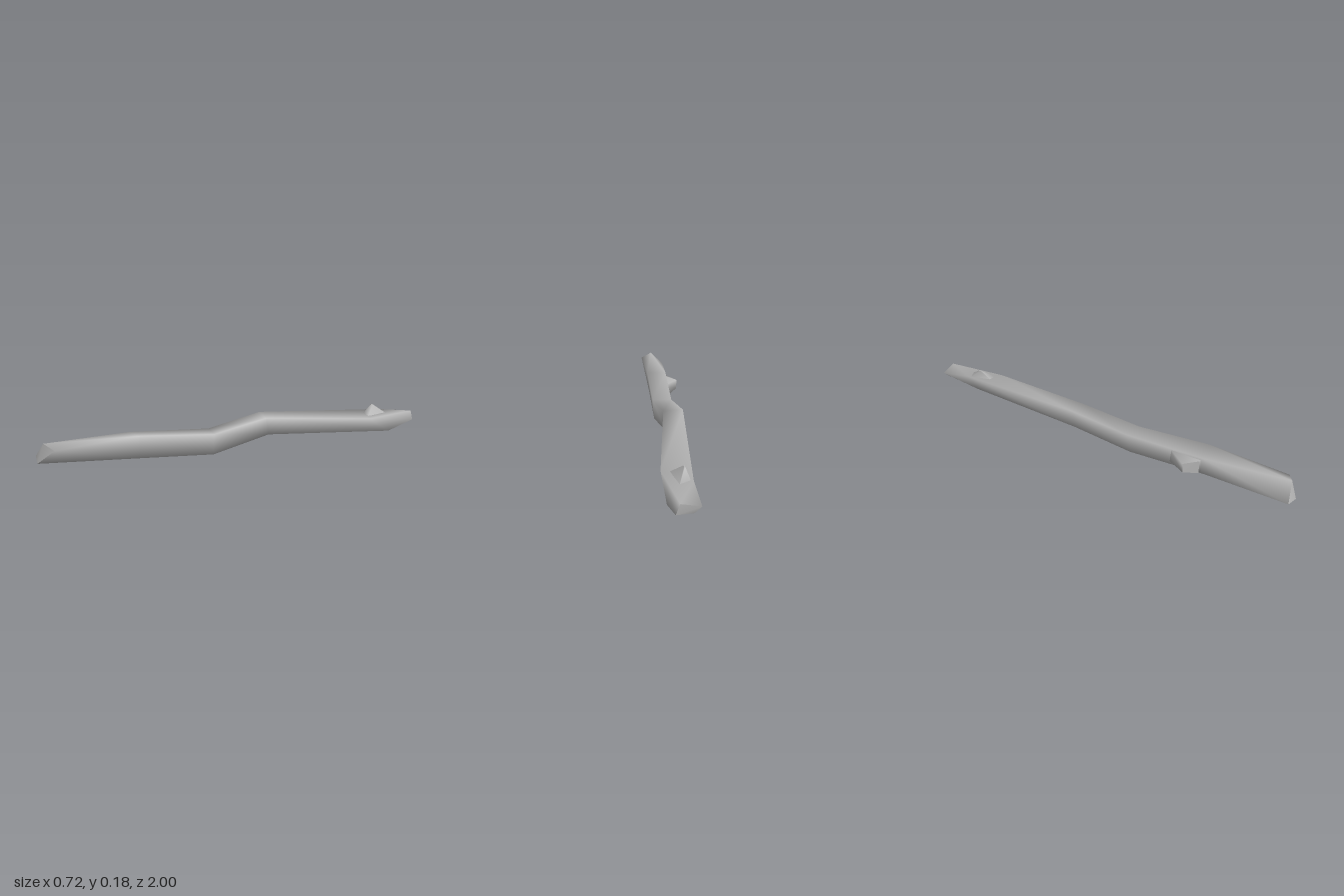
import * as THREE from 'three';

// Skin four-cornered rings with smooth sides and flat end caps.
function loft(rings) {
  const pos = rings.flat(2);
  const idx = [];
  for (let r = 0; r < rings.length - 1; r++) {
    for (let i = 0; i < 4; i++) {
      const j = (i + 1) % 4;
      const a = r * 4 + i, b = r * 4 + j;
      const c = b + 4, d = a + 4;
      idx.push(a, b, c, a, c, d);
    }
  }
  // Caps get their own vertices so their edges stay sharp
  const s = rings.length * 4;
  pos.push(...rings[0].flat(), ...rings[rings.length - 1].flat());
  idx.push(s, s + 2, s + 1, s, s + 3, s + 2);
  idx.push(s + 4, s + 5, s + 6, s + 4, s + 6, s + 7);
  const g = new THREE.BufferGeometry();
  g.setAttribute('position', new THREE.Float32BufferAttribute(pos, 3));
  g.setIndex(idx);
  g.computeVertexNormals();
  return g;
}

export function createModel() {
  const group = new THREE.Group();
  group.name = 'stick';
  const wood = new THREE.MeshStandardMaterial({ color: 0xb4b4b4 });
  wood.name = 'greyWood';
  const add = (name, rings) => {
    const mesh = new THREE.Mesh(loft(rings), wood);
    mesh.name = name;
    group.add(mesh);
  };

  // Crooked main branch, front to back; corners: top left, top right, bottom right, bottom left
  add('branch', [
    [[-0.285, 0.18, 0.97], [-0.217, 0.158, 0.955], [-0.295, 0.09, 1.0], [-0.36, 0.105, 0.97]],
    [[-0.215, 0.162, 0.55], [-0.11, 0.168, 0.57], [-0.12, 0.057, 0.57], [-0.21, 0.066, 0.57]],
    [[-0.09, 0.125, 0.16], [0.0, 0.122, 0.2], [-0.008, 0.017, 0.2], [-0.092, 0.026, 0.18]],
    [[-0.028, 0.166, -0.14], [0.06, 0.157, -0.1], [0.06, 0.067, -0.12], [-0.02, 0.065, -0.13]],
    [[0.22, 0.1, -0.83], [0.297, 0.092, -0.66], [0.325, 0.002, -0.8], [0.255, 0.003, -0.8]],
    [[0.26, 0.07, -1.0], [0.343, 0.086, -0.98], [0.36, 0.04, -0.975], [0.285, 0.04, -0.985]],
  ]);

  // Broken side twig
  add('sideStub', [
    [[-0.19, 0.15, 0.56], [-0.13, 0.14, 0.37], [-0.13, 0.06, 0.37], [-0.19, 0.075, 0.56]],
    [[-0.22, 0.145, 0.545], [-0.25, 0.135, 0.47], [-0.25, 0.085, 0.475], [-0.22, 0.075, 0.545]],
  ]);

  // Small pointed knot on top near the back
  add('topKnot', [
    [[0.218, 0.09, -0.68], [0.27, 0.09, -0.68], [0.3, 0.07, -0.85], [0.225, 0.085, -0.83]],
    [[0.23, 0.143, -0.755], [0.234, 0.143, -0.755], [0.236, 0.142, -0.765], [0.231, 0.142, -0.765]],
  ]);
  return group;
}
